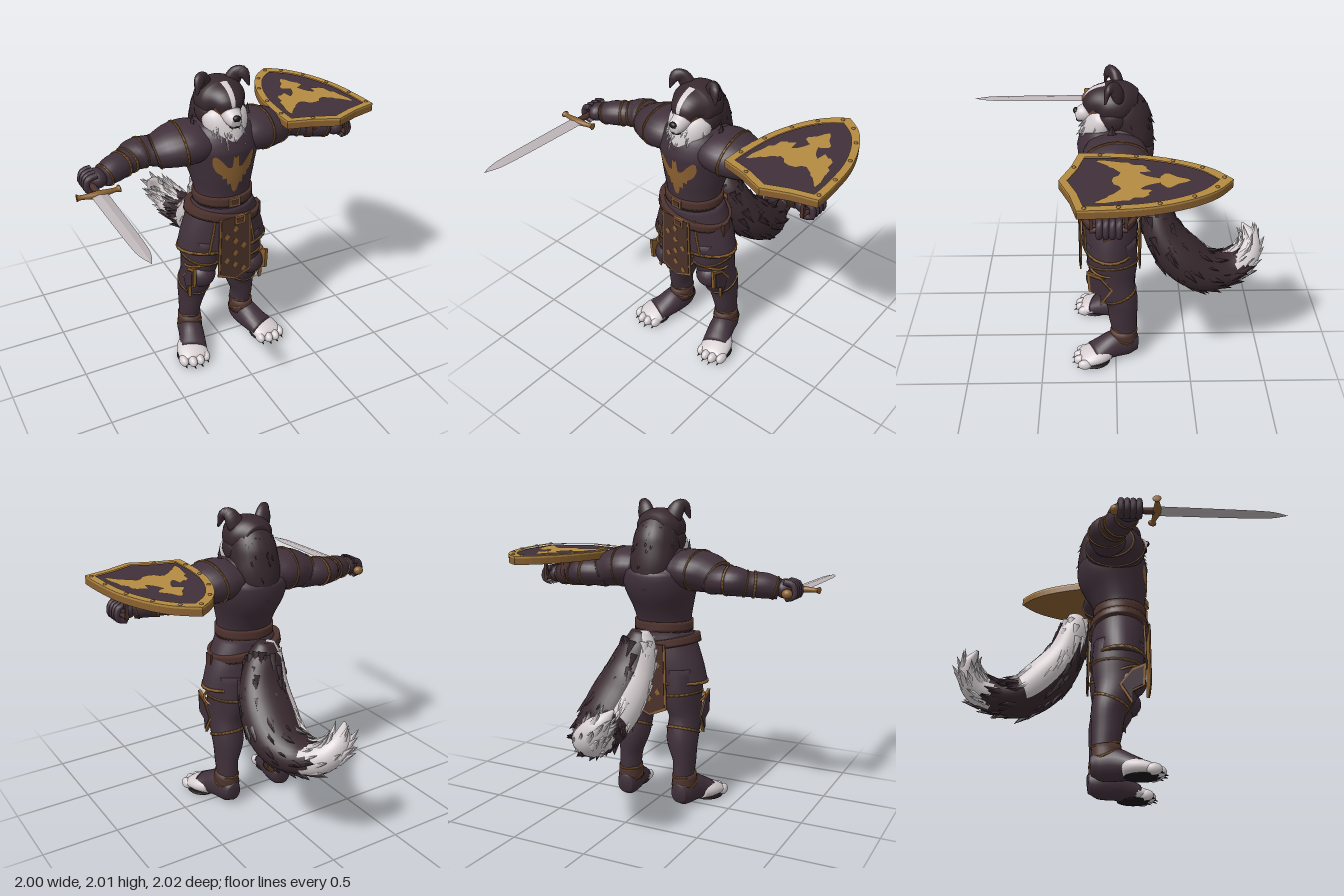
import * as THREE from 'three';

const V = (x, y, z) => new THREE.Vector3(x, y, z);
const X = V(1, 0, 0), Y = V(0, 1, 0), Z = V(0, 0, 1);
const mat = (name, color, side = THREE.FrontSide) => Object.assign(new THREE.MeshStandardMaterial({ color, side }), { name });

// Elliptical skin along a curve; each point is [x, y, z, radiusA, radiusB]
function skin(pts, ref) {
  const c = new THREE.CatmullRomCurve3(pts.map(p => V(p[0], p[1], p[2])), false, 'catmullrom');
  const r = new THREE.CatmullRomCurve3(pts.map(p => V(p[3], p[4], 0)), false, 'catmullrom');
  return (u, a, grow = 0, k = 1) => {
    const t = c.getTangent(u), rad = r.getPoint(u);
    const side = ref.clone().cross(t).normalize(), n = t.clone().cross(side);
    const out = side.multiplyScalar(Math.cos(a) * (Math.max(rad.x, 0.001) + grow) * k)
      .add(n.multiplyScalar(Math.sin(a) * (Math.max(rad.y, 0.001) + grow) * k));
    return { p: c.getPoint(u).add(out), t, out: out.clone().normalize() };
  };
}

function sweep(pts, ref, { u0 = 0, u1 = 1, grow = 0, seg = 24, steps = (pts.length - 1) * 4, pick = () => 0, flat = false } = {}) {
  const f = skin(pts, ref), pos = [], lists = [[], [], []];
  for (let i = -1; i <= steps + 1; i++) {
    const u = u0 + (u1 - u0) * Math.min(Math.max(i, 0), steps) / steps;
    const k = i < 0 || i > steps ? 0.01 : 1;
    for (let j = 0; j < seg; j++) pos.push(...f(u, j / seg * Math.PI * 2, grow, k).p.toArray());
  }
  for (let i = 0; i < steps + 2; i++) for (let j = 0; j < seg; j++) {
    const a = i * seg + j, b = i * seg + (j + 1) % seg;
    const m = pick(u0 + (u1 - u0) * (i - 0.5) / steps, (j + 0.5) / seg * Math.PI * 2);
    lists[m].push(a, b, a + seg, b, b + seg, a + seg);
  }
  let g = new THREE.BufferGeometry();
  g.setAttribute('position', new THREE.Float32BufferAttribute(pos, 3));
  g.setIndex(lists.flat());
  let start = 0;
  lists.forEach((l, m) => { if (l.length) g.addGroup(start, l.length, m); start += l.length; });
  if (flat) g = g.toNonIndexed();
  g.computeVertexNormals();
  return g;
}

// Symmetric decal from columns [x, top, bottom], laid on depth(x, y)
function decal(cols, depth, rows = 6) {
  const all = [...cols.slice(1).reverse().map(([x, t, b]) => [-x, t, b]), ...cols], pos = [], idx = [];
  all.forEach(([x, t, b], i) => {
    for (let k = 0; k <= rows; k++) {
      const y = t + (b - t) * k / rows, a = i * (rows + 1) + k, d = a + rows + 1;
      pos.push(x, y, depth(x, y));
      if (k < rows && i < all.length - 1) idx.push(a, a + 1, d + 1, a, d + 1, d);
    }
  });
  const g = new THREE.BufferGeometry();
  g.setAttribute('position', new THREE.Float32BufferAttribute(pos, 3));
  g.setIndex(idx);
  g.computeVertexNormals();
  return g;
}

const plate = (points, depth) => new THREE.ExtrudeGeometry(
  new THREE.Shape(points.map(p => new THREE.Vector2(...p))), { depth, bevelEnabled: false });

export function createModel() {
  const root = new THREE.Group();
  const plum = mat('plum armour', 0x40303a, THREE.DoubleSide), fur = mat('dark fur', 0x38292f), white = mat('white fur', 0xd6ced0);
  const bronze = mat('bronze trim', 0x8a6030), gold = mat('bright gold', 0xb48c42), tan = mat('tan fur', 0x8a5a34);
  const leather = mat('brown leather', 0x4d322d), cloth = mat('brown cloth', 0x4a3029), steel = mat('steel', 0xbdb5b8), black = mat('black', 0x1b1518);
  const add = (name, g, m, p) => {
    const o = new THREE.Mesh(g, m); o.name = name;
    if (p) o.position.set(...p);
    root.add(o); return o;
  };
  const blob = (name, m, p, r) => { const o = add(name, new THREE.SphereGeometry(1, 20, 14), m, p); o.scale.set(...r); return o; };
  const band = (name, pts, ref, u, w, m = bronze, grow = 0.006) => add(name, sweep(pts, ref, { u0: u - w, u1: u + w, grow, steps: 2 }), m);
  let seed = 7;
  const rnd = () => (seed = (seed * 16807) % 2147483647) / 2147483647;
  // Pointed lock of fur lying along a skin
  const tuft = (name, f, u, a, m, len, down = 1) => {
    const s = f(u, a), dir = s.t.clone().multiplyScalar(down).addScaledVector(s.out, 0.3).normalize();
    const o = add(name, new THREE.ConeGeometry(len * 0.25, len, 5), m);
    o.position.copy(s.p).addScaledVector(dir, len * 0.3).addScaledVector(s.out, -0.012);
    o.quaternion.setFromUnitVectors(Y, dir);
  };

  // Torso with its crest
  const torso = add('torso', sweep([[0, 1, .04, .21, .165], [0, 1.15, .045, .19, .165], [0, 1.24, .045, .185, .165], [0, 1.36, .03, .21, .2],
    [0, 1.5, 0, .25, .24], [0, 1.6, -.01, .24, .225], [0, 1.68, -.03, .18, .16], [0, 1.73, -.03, .1, .1]], Y.clone().set(0, 0, 1), { seg: 40 }), plum);
  const ray = new THREE.Raycaster();
  const onto = (o, lift = 0.004) => (x, y) => {
    ray.set(V(x, y, 2), V(0, 0, -1));
    const hit = ray.intersectObject(o)[0];
    return (hit ? hit.point.z : 0.2) + lift;
  };
  add('chestCrest', decal([[0, 1.515, 1.27], [.016, 1.53, 1.285], [.02, 1.46, 1.3], [.03, 1.45, 1.34], [.05, 1.455, 1.33], [.054, 1.46, 1.38],
    [.08, 1.49, 1.375], [.082, 1.495, 1.4], [.11, 1.525, 1.42], [.125, 1.535, 1.44], [.14, 1.525, 1.48]], onto(torso)), bronze);

  // Skirt, belts and hanging cloths
  const skirtPts = [[0, .83, .035, .315, .185], [0, .95, .035, .285, .185], [0, 1.06, .04, .245, .18], [0, 1.16, .045, .2, .172]];
  const skirt = add('armourSkirt', sweep(skirtPts, Z, { seg: 40 }), plum);
  band('skirtHem', skirtPts, Z, .03, .025);
  const onSkirt = onto(skirt, .004);
  for (const s of [1, -1]) {
    const line = [[.12, 1.1], [.135, 1.0], [.15, .92], [.165, .84]].map(([x, y]) => V(s * x, y, onSkirt(s * x, y)));
    add('tassetTrim', new THREE.TubeGeometry(new THREE.CatmullRomCurve3(line), 12, .007, 6), bronze);
  }
  add('waistBelt', sweep([[0, 1.17, .045, .198, .178], [0, 1.235, .045, .198, .178]], Z, { seg: 40 }), leather);
  add('slantedBelt', sweep([[-.005, 1.055, .04, .258, .2], [.005, 1.11, .04, .258, .2]], Z, { seg: 40 }), leather);
  add('beltEnd', new THREE.BoxGeometry(.03, .09, .06), leather, [.255, 1.02, .05]);
  for (const [x, y, z] of [[0, 1.2, .222], [.03, 1.075, .242]]) {
    add('buckle', new THREE.BoxGeometry(.075, .06, .014), bronze, [x, y, z]);
    add('buckleCentre', new THREE.BoxGeometry(.05, .035, .018), leather, [x, y, z]);
  }
  const drape = (w, b) => [[-w * .9, 1.1], [-w, .67 + b], [0, .62 + b], [w, .67 + b], [w * .9, 1.1]];
  for (const [name, z, s] of [['front', .233, 1], ['back', -.163, -1]]) {
    add(name + 'ClothTrim', plate(drape(.122, 0), .008), bronze, [0, 0, z - .004]);
    add(name + 'Cloth', plate(drape(.108, .014), .008), cloth, [0, 0, z - .004 + s * .004]);
    for (let i = 0; i < 8; i++) {
      const o = add(name + 'ClothSpot', new THREE.CylinderGeometry(.02, .02, .006, 4), bronze, [(i % 2 ? .06 : 0) * (i % 4 === 1 ? -1 : 1), 1.01 - i * .045, z + s * .007]);
      o.rotation.x = Math.PI / 2; o.scale.z = 1.3;
    }
  }

  for (const s of [1, -1]) {
    // Leg, knee guard and greave trims
    const leg = [[s * .205, .12, -.06, .07, .08], [s * .2, .22, -.06, .07, .085], [s * .2, .32, -.05, .075, .095], [s * .18, .46, -.04, .105, .11],
      [s * .175, .6, .01, .1, .14], [s * .15, .75, .02, .125, .165], [s * .14, .92, .03, .13, .165]];
    add('leg', sweep(leg, Z), plum);
    for (const u of [.15, .56, .84]) band('legTrim', leg, Z, u, .008);
    blob('kneeGuard', plum, [s * .18, .64, .09], [.098, .095, .108]);
    const kneeRim = add('kneeTrim', new THREE.TorusGeometry(.098, .008, 6, 28), bronze, [s * .18, .715, .075]);
    kneeRim.rotation.x = 1.3;
    const wing = k => [[.19, .75], [.1, .71], [.02, .6], [.1, .47], [.105, .56], [.18, .6]].map(([z, y]) => [-(.1 + (z - .1) * k), .61 + (y - .61) * k]);
    for (const [k, m, d] of [[1, bronze, 0], [.8, plum, .006]]) {
      const o = add('kneeWing', plate(wing(k), .02), m, [s * (.265 + d) - .01, 0, 0]);
      o.rotation.y = Math.PI / 2;
    }
    // Boot and paw
    const boot = [[s * .2, .1, -.15, .05, .06], [s * .205, .105, -.09, .075, .095], [s * .22, .105, 0, .085, .1], [s * .245, .085, .08, .09, .08], [s * .275, .065, .15, .1, .06]];
    add('boot', sweep(boot, Y), plum);
    const ankle = [[s * .203, .15, -.05, .085, .1], [s * .203, .18, -.055, .085, .1]];
    for (const dy of [0, .06]) add('ankleTrim', sweep(ankle.map(([x, y, z, a, b]) => [x, y + dy, z, a - dy * .2, b - dy * .2]).map((p, i) => i ? [p[0], p[1] - .018, ...p.slice(2)] : p), Z), bronze);
    add('anklePlate', sweep([[s * .203, .13, -.05, .083, .1], [s * .203, .225, -.055, .077, .09]], Z), leather);
    add('paw', sweep([[s * .245, .07, .06, .082, .062], [s * .275, .065, .13, .102, .06], [s * .29, .05, .21, .1, .045], [s * .295, .045, .24, .085, .03]], Y), white);
    blob('pawSole', black, [s * .285, .014, .15], [.1, .014, .11]);
    for (let i = 0; i < 4; i++) {
      const x = s * (.215 + i * .052), z = .225 + [0, .02, .018, -.012][i];
      blob('toe', white, [x, .042, z], [.03, .036, .048]);
      const claw = add('claw', new THREE.ConeGeometry(.012, .04, 6), black, [x, .022, z + .042]);
      claw.rotation.x = 1.9;
    }
    // Shoulder, arm and hand
    const shoulder = [[s * .12, 1.58, 0, .18, .11], [s * .22, 1.575, 0, .2, .13], [s * .33, 1.56, -.01, .18, .125], [s * .43, 1.53, -.03, .13, .1]];
    add('pauldron', sweep(shoulder, Y), plum);
    for (const u of [.5, .97]) band('pauldronTrim', shoulder, Y, u, .015);
    const collar = add('collarPoint', new THREE.ConeGeometry(.06, .15, 4), plum, [s * .19, 1.69, .02]);
    collar.scale.x = .5;
    const arm = [[s * .38, 1.52, -.04, .11, .09], [s * .46, 1.53, -.07, .115, .09], [s * .54, 1.525, -.065, .118, .092], [s * .61, 1.51, -.035, .09, .08],
      [s * .71, 1.5, .01, .088, .08], [s * .79, 1.48, .04, .07, .065]];
    add('arm', sweep(arm, Y), plum);
    for (const u of [.3, .58, .68, .95]) band('armTrim', arm, Y, u, .012);
    blob('hand', plum, [s * .825, 1.485, .045], [.06, .06, .075]);
    for (let i = 0; i < 4; i++) {
      const z = -.01 + i * .036;
      add('finger', new THREE.TubeGeometry(new THREE.CatmullRomCurve3([V(s * .84, 1.53, z), V(s * .895, 1.515, z), V(s * .905, 1.45, z), V(s * .85, 1.43, z)]), 10, .02, 8), plum);
    }
    // Ear, brow and eye
    add('ear', sweep([[s * .09, 1.9, -.02, .06, .04], [s * .12, 1.96, 0, .05, .035], [s * .15, 1.965, .04, .035, .025], [s * .175, 1.89, .06, .006, .006]], Z), fur);
    blob('cheekFur', fur, [s * .095, 1.76, .01], [.065, .085, .09]);
    blob('brow', tan, [s * .055, 1.868, .131], [.016, .011, .012]);
    blob('eye', black, [s * .062, 1.832, .13], [.016, .014, .014]);
  }

  // Head: dark skull, white blaze and muzzle, tan cheeks
  add('head', sweep([[0, 1.82, -.13, .09, .09], [0, 1.83, -.05, .15, .125], [0, 1.83, .05, .152, .12], [0, 1.825, .11, .11, .095], [0, 1.775, .155, .065, .062],
    [0, 1.755, .21, .05, .048], [0, 1.75, .24, .032, .036]], Y, { seg: 40, steps: 36,
    pick: (u, a) => u > .68 || (u > .36 && Math.abs(a - Math.PI / 2) < .22) ? 1 : u > .56 && Math.sin(a) < .2 ? 2 : 0 }), [fur, white, tan]);
  blob('nose', black, [0, 1.775, .238], [.026, .02, .018]);
  blob('mouth', black, [0, 1.718, .215], [.036, .01, .025]);

  // Neck mane and white bib
  const manePts = [[0, 1.44, -.2, .05, .04], [0, 1.58, -.14, .14, .11], [0, 1.7, -.08, .15, .15], [0, 1.8, -.05, .14, .14], [0, 1.92, -.02, .09, .08]];
  add('mane', sweep(manePts, Z), fur);
  const bibPts = [[0, 1.53, .215, .01, .01], [0, 1.6, .16, .085, .07], [0, 1.67, .11, .135, .1], [0, 1.74, .07, .148, .1], [0, 1.78, .05, .12, .08]];
  add('bib', sweep(bibPts, Z), white);
  const maneF = skin(manePts, Z), bibF = skin(bibPts, Z);
  for (let i = 0; i < 26; i++) {
    tuft('maneTuft', maneF, .2 + rnd() * .6, Math.PI * (1 + rnd()), fur, .06, -1);
    tuft('bibTuft', bibF, .2 + rnd() * .5, Math.PI * rnd(), white, .06, -1);
  }

  // Tail with a white tip and stripe
  const tailPts = [[.02, 1.2, -.25, .05, .06], [.03, 1.1, -.255, .1, .12], [.07, .93, -.31, .125, .165], [.1, .78, -.42, .15, .19], [.11, .66, -.57, .14, .175],
    [.07, .625, -.73, .11, .14], [.01, .67, -.87, .1, .11], [-.07, .77, -.92, .065, .07], [-.14, .86, -.87, .008, .008]];
  const tailF = skin(tailPts, X);
  const tailPick = (u, a) => {
    const o = tailF(Math.min(Math.max(u, 0), 1), a).out;
    return u > .7 + .04 * Math.sin(a * 5) || (u < .52 && o.x < -.6 && o.y > -.35) ? 1 : 0;
  };
  add('tail', sweep(tailPts, X, { seg: 32, steps: 48, pick: tailPick }), [fur, white]);
  for (let i = 0; i < 150; i++) {
    const u = .08 + rnd() * .82, a = rnd() * Math.PI * 2;
    tuft('tailTuft', tailF, u, a, tailPick(u, a) ? white : fur, .07 + rnd() * .06);
  }

  // Sword
  const sx = -.87, sy = 1.465;
  add('blade', sweep([[sx, sy, .2, .05, .012], [sx, sy, .5, .047, .011], [sx, sy, .78, .042, .009], [sx, sy, .9, .032, .007], [sx, sy, .99, .001, .001]], Y, { seg: 4, flat: true }), steel);
  add('swordGrip', new THREE.CylinderGeometry(.02, .02, .24, 12).rotateX(Math.PI / 2), leather, [sx, sy, .07]);
  blob('pommel', bronze, [sx, sy, -.045], [.034, .03, .03]);
  add('guard', sweep([[sx - .13, sy, .19, .026, .022], [sx - .1, sy, .195, .014, .014], [sx, sy, .205, .026, .022], [sx + .1, sy, .195, .014, .014], [sx + .13, sy, .19, .026, .022]], Y), bronze);

  // Shield lying flat over the left arm
  const shield = new THREE.Group(); shield.name = 'shield'; shield.position.set(.683, 1.62, 0);
  root.add(shield);
  const half = new THREE.SplineCurve([[0, .645], [.12, .545], [.215, .39], [.285, .18], [.312, -.05], [.317, -.215]].map(p => new THREE.Vector2(...p))).getPoints(20);
  const outline = k => [...half, new THREE.Vector2(.16, -.255), new THREE.Vector2(0, -.32)]
    .flatMap((p, i, l) => i && i < l.length - 1 ? [p, new THREE.Vector2(-p.x, p.y)] : [p])
    .sort((a, b) => Math.atan2(a.x, a.y) - Math.atan2(b.x, b.y)).map(p => new THREE.Vector2(p.x * k, .05 + (p.y - .05) * (k + .02 * (k < 1))));
  const lay = (name, g, m, y) => { const o = add(name, g.rotateX(-Math.PI / 2), m, [0, y, 0]); shield.add(o); return o; };
  const solid = (k, depth) => new THREE.ExtrudeGeometry(new THREE.Shape(outline(k)), { depth, bevelEnabled: false });
  lay('shieldBody', solid(1, .04), bronze, 0);
  const rim = new THREE.Shape(outline(1)); rim.holes.push(new THREE.Path(outline(.85)));
  lay('shieldRim', new THREE.ExtrudeGeometry(rim, { depth: .013, bevelEnabled: false }), gold, .04);
  lay('shieldField', solid(.86, .006), plum, .04);
  lay('shieldCrestHead', decal([[0, .415, .26], [.02, .39, .24], [.04, .34, .24], [.08, .295, .27]], () => 0, 1), gold, .05);
  lay('shieldCrestWings', decal([[0, .3, -.03], [.02, .26, -.025], [.04, .2, -.02], [.06, .16, .01], [.09, .13, .02], [.1, .2, .01], [.14, .17, -.02],
    [.15, .18, -.04], [.18, .15, -.06], [.185, .09, -.07], [.21, .07, -.1], [.215, .02, -.11], [.235, -.06, -.12]], () => 0, 1), gold, .05);
  const studs = outline(.925);
  for (let i = 0; i < studs.length; i += 4) {
    const o = blob('shieldStud', bronze, [studs[i].x, .054, -studs[i].y], [.012, .008, .012]);
    shield.add(o);
  }
  // Arm strap and hand grip beneath the shield
  const strap = add('armStrap', new THREE.CylinderGeometry(.1, .1, .045, 24, 1, false).rotateZ(Math.PI / 2), leather, [.66, 1.52, -.01]);
  strap.rotation.y = -.4;
  for (const z of [-.1, .09]) add('strapEnd', new THREE.BoxGeometry(.045, .12, .012), leather, [.66, 1.57, z]);
  for (const z of [-.05, .14]) add('gripPost', new THREE.BoxGeometry(.02, .18, .02), leather, [.865, 1.54, z]);
  add('gripBar', new THREE.CylinderGeometry(.016, .016, .2, 10).rotateX(Math.PI / 2), leather, [.865, 1.465, .045]);
  return root;
}
